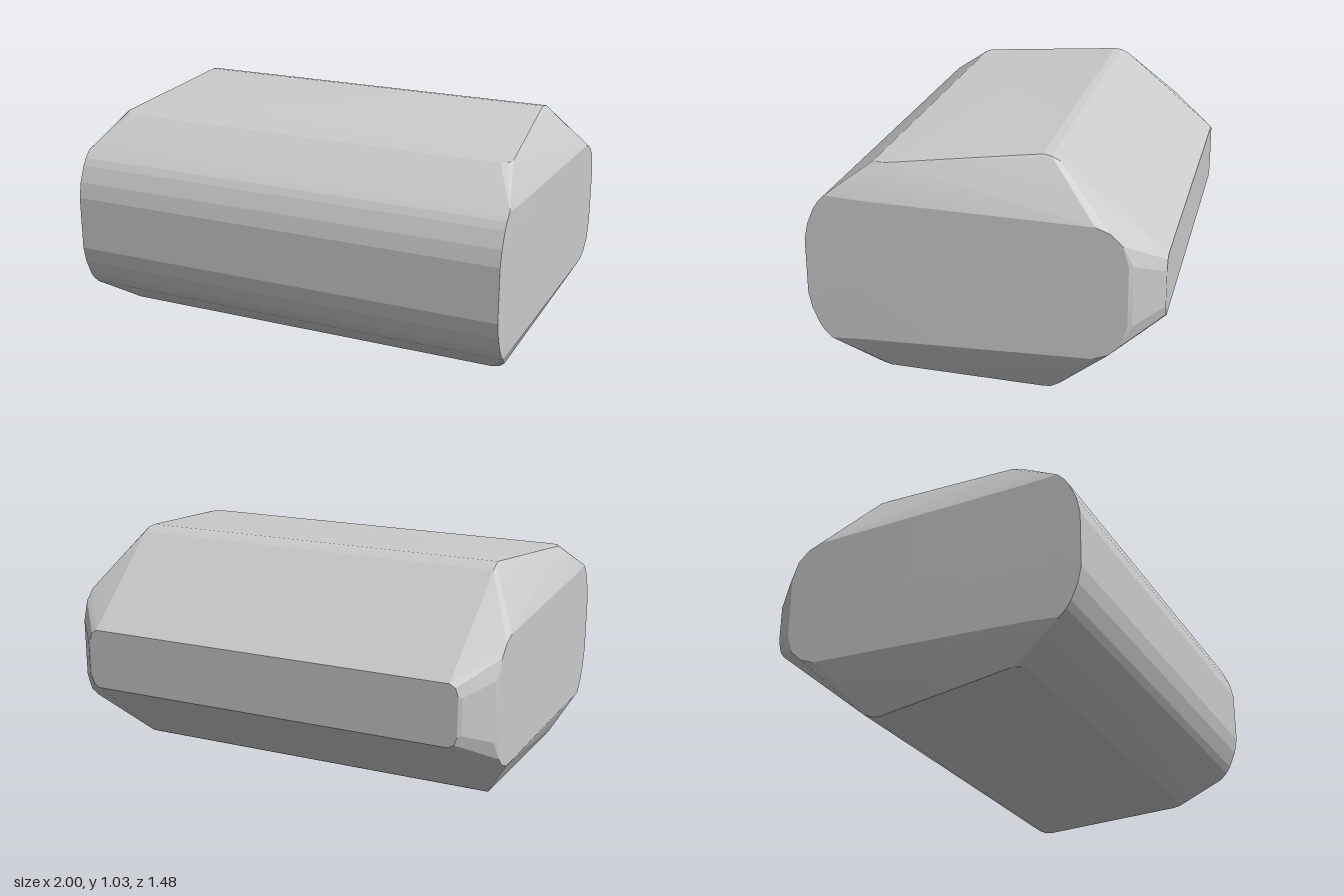
import * as THREE from 'three';
import { ConvexGeometry } from 'three/addons/geometries/ConvexGeometry.js';
import { toCreasedNormals } from 'three/addons/utils/BufferGeometryUtils.js';

const MID = 0.517; // height of the horizontal symmetry plane

// Corner points of one quarter of the body: [x, height above MID, z]
const QUARTER = [
  // top ridge
  [0.85, 0.517, -0.23], [0.855, 0.512, -0.265], [0.855, 0.495, -0.3], [0.855, 0.508, -0.16],
  // front edge of the top, with a rounded corner
  [0.885, 0.453, 0.46], [0.91, 0.454, 0.445], [0.922, 0.455, 0.41],
  // rounded front
  [0.99, 0.32, 0.645], [0.99, 0.29, 0.675], [0.99, 0.26, 0.695], [0.99, 0.19, 0.725], [0.99, 0.12, 0.74],
  // rim of the flat side
  [0.993, 0.31, 0.5], [1, 0.285, -0.47], [1, 0.262, -0.53], [1, 0.215, -0.58], [1, 0.13, -0.605],
  // rear end and its chamfered corner
  [0.84, 0.135, -0.74], [0.865, 0.12, -0.74], [0.877, 0.085, -0.74], [0.893, 0.08, -0.73], [0.99, 0.13, -0.622],
];

export function createModel() {
  const group = new THREE.Group();
  group.name = 'facetedBlock';

  // mirror the quarter left-right and top-bottom, then wrap it in a hull
  const points = [];
  for (const [x, h, z] of QUARTER)
    for (const sx of [-1, 1])
      for (const sy of [-1, 1]) points.push(new THREE.Vector3(sx * x, MID + sy * h, z));

  const geometry = toCreasedNormals(new ConvexGeometry(points), 0.18);
  const body = new THREE.Mesh(geometry, new THREE.MeshStandardMaterial({ color: 0xcccccc }));
  body.name = 'body';
  group.add(body);
  return group;
}
